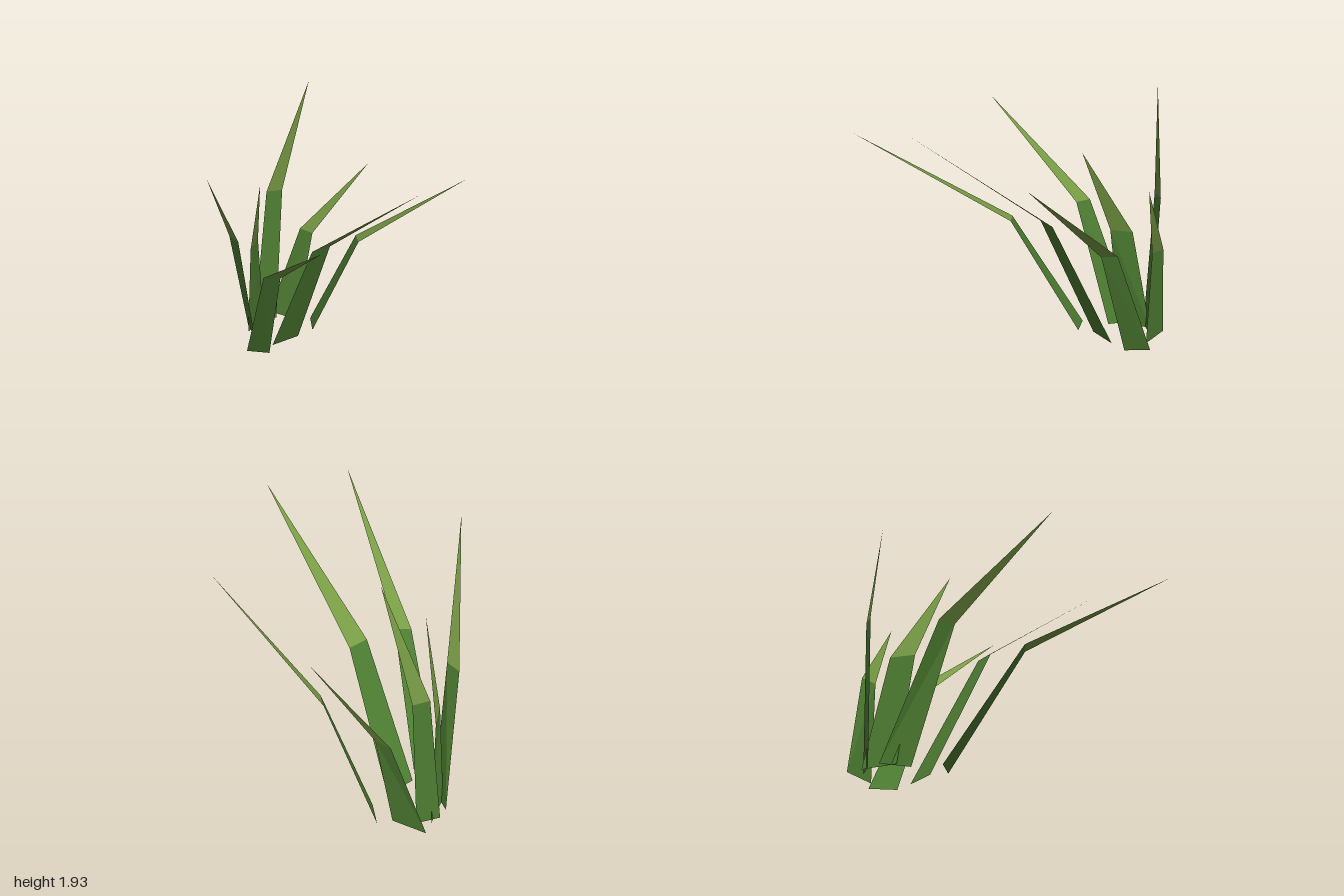
import * as THREE from 'three';

// Each blade: two root corners [x,z], bend height, two bend corners [x,z], tip [x,y,z]
const BLADES = [
  { root: [[-0.73, -0.41], [-0.57, -0.32]], h: 0.84, bend: [[-0.33, -0.54], [-0.23, -0.49]], tip: [0.53, 1.52, -0.79] },
  { root: [[-0.56, -0.18], [-0.56, 0.05]], h: 0.97, bend: [[-0.08, -0.13], [-0.08, 0.02]], tip: [0.94, 1.75, -0.05] },
  { root: [[-0.48, 0.13], [-0.60, 0.25]], h: 0.885, bend: [[-0.02, 0.32], [-0.09, 0.41]], tip: [0.98, 1.59, 0.69] },
  { root: [[-0.92, 0.04], [-0.73, 0.10]], h: 0.93, bend: [[-0.69, 0.31], [-0.57, 0.31]], tip: [-0.14, 1.68, 0.78] },
  { root: [[-0.95, -0.12], [-0.83, 0.095]], h: 0.745, bend: [[-0.84, -0.02], [-0.735, 0.11]], tip: [-0.51, 1.35, 0.155] },
  { root: [[-1.0, -0.21], [-0.77, -0.31]], h: 0.74, bend: [[-0.83, -0.39], [-0.71, -0.42]], tip: [-0.43, 1.33, -0.72] },
  { root: [[-0.95, -0.04], [-0.89, -0.20]], h: 1.07, bend: [[-0.92, -0.155], [-0.885, -0.27]], tip: [-0.72, 1.93, -0.40] },
];

// Flat sheet made from a fan of corner points
function sheet(name, points, material) {
  const corners = [];
  for (let i = 1; i < points.length - 1; i++) corners.push(...points[0], ...points[i], ...points[i + 1]);
  const geometry = new THREE.BufferGeometry();
  geometry.setAttribute('position', new THREE.Float32BufferAttribute(corners, 3));
  geometry.computeVertexNormals();
  const mesh = new THREE.Mesh(geometry, material);
  mesh.name = name;
  return mesh;
}

export function createModel() {
  const stemGreen = new THREE.MeshStandardMaterial({ color: 0x4f7f33, side: THREE.DoubleSide });
  stemGreen.name = 'stem green';
  const tipGreen = new THREE.MeshStandardMaterial({ color: 0x789c45, side: THREE.DoubleSide });
  tipGreen.name = 'tip green';

  const model = new THREE.Group();
  model.name = 'grassTuft';
  BLADES.forEach(({ root, h, bend, tip }, i) => {
    const at = ([x, z], y) => [x, y, z];
    const [r0, r1] = root.map((p) => at(p, 0));
    const [b0, b1] = bend.map((p) => at(p, h));
    const blade = new THREE.Group();
    blade.name = `blade${i + 1}`;
    // lower stem, then the pointed tip above the bend (upper face first)
    blade.add(sheet('bladeStem', [r0, r1, b1, b0], stemGreen));
    blade.add(sheet('bladeTip', [b0, b1, tip], tipGreen));
    model.add(blade);
  });
  return model;
}
